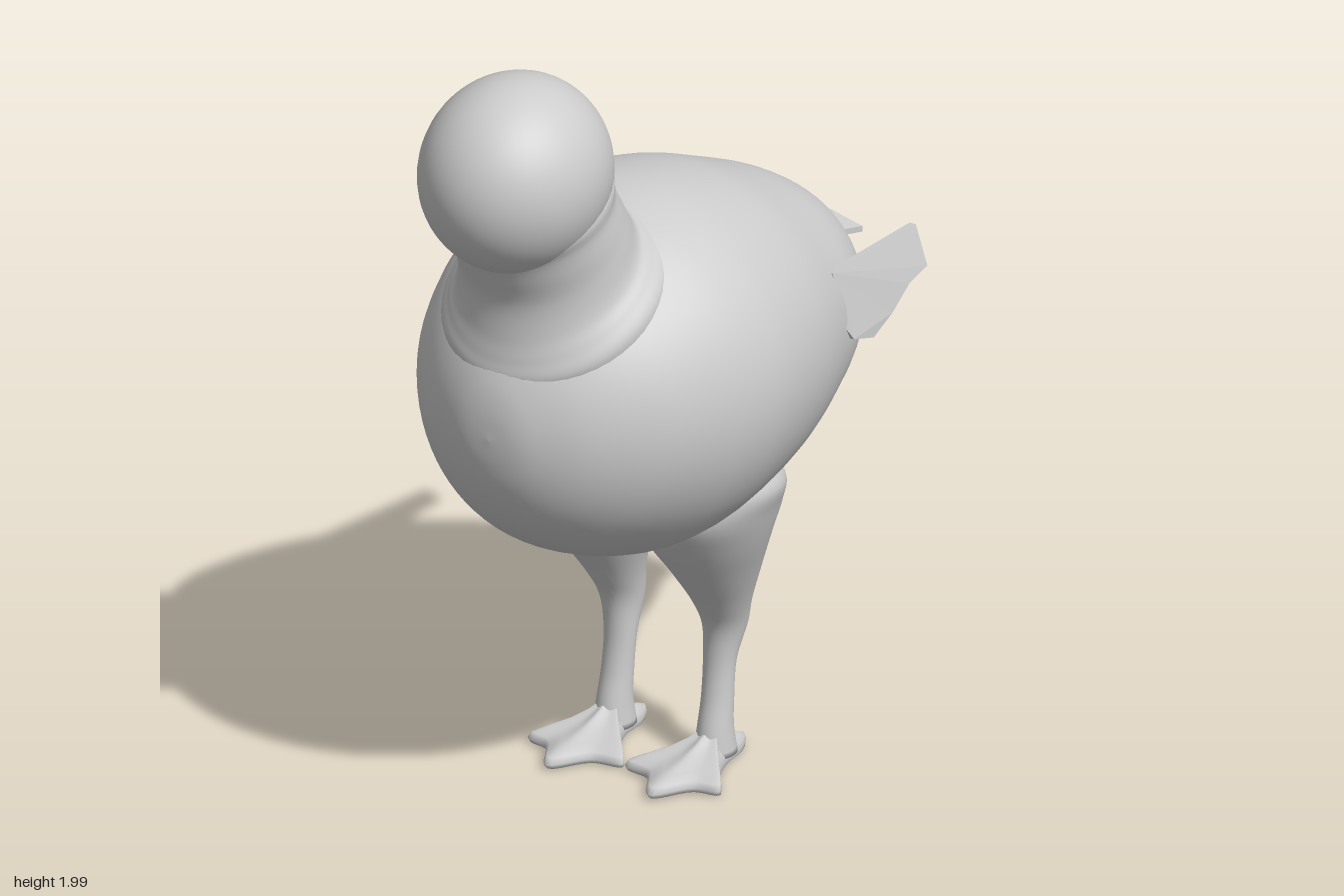
import * as THREE from 'three';

const grey = new THREE.MeshStandardMaterial({ color: 0xcccccc });
grey.name = 'plain grey';

function part(name, geometry) {
  const mesh = new THREE.Mesh(geometry, grey);
  mesh.name = name;
  return mesh;
}

// Skin a list of closed rings (arrays of Vector3) and cap both ends.
function skin(rings) {
  const n = rings[0].length, pos = [], idx = [];
  rings.forEach(r => r.forEach(p => pos.push(p.x, p.y, p.z)));
  for (let i = 0; i < rings.length - 1; i++) {
    for (let j = 0; j < n; j++) {
      const k = (j + 1) % n, a = i * n + j, b = i * n + k;
      idx.push(a, b, b + n, a, b + n, a + n);
    }
  }
  [0, rings.length - 1].forEach((r, end) => {
    const c = new THREE.Vector3();
    rings[r].forEach(p => c.addScaledVector(p, 1 / n));
    const ci = pos.length / 3;
    pos.push(c.x, c.y, c.z);
    for (let j = 0; j < n; j++) {
      const a = r * n + j, b = r * n + (j + 1) % n;
      if (end) idx.push(ci, a, b); else idx.push(ci, b, a);
    }
  });
  const g = new THREE.BufferGeometry();
  g.setAttribute('position', new THREE.Float32BufferAttribute(pos, 3));
  g.setIndex(idx);
  g.computeVertexNormals();
  return g;
}

// Elliptical loft. Each station: [y1, z1, y2, z2, half width, centre x].
function loft(stations, steps, sides) {
  const A = new THREE.CatmullRomCurve3(stations.map(s => new THREE.Vector3(s[5] || 0, s[0], s[1])));
  const B = new THREE.CatmullRomCurve3(stations.map(s => new THREE.Vector3(s[4], s[2], s[3])));
  const rings = [];
  for (let i = 0; i <= steps; i++) {
    const a = A.getPoint(i / steps), b = B.getPoint(i / steps), ring = [];
    for (let j = 0; j < sides; j++) {
      const t = j / sides * Math.PI * 2, s = (1 + Math.sin(t)) / 2;
      ring.push(new THREE.Vector3(a.x + Math.max(b.x, 0) * Math.cos(t),
        a.y + (b.y - a.y) * s, a.z + (b.z - a.z) * s));
    }
    rings.push(ring);
  }
  return skin(rings);
}

// Webbed foot: scalloped outline raised towards the ankle.
function footGeometry() {
  const outline = [[0.145, -0.26], [0.115, -0.21], [0.105, -0.12], [0.06, -0.03], [0.003, 0.04], [0.08, 0.06],
    [0.15, 0.15], [0.215, 0.06], [0.28, 0.04], [0.23, -0.03], [0.19, -0.12], [0.175, -0.21]];
  const curve = new THREE.CatmullRomCurve3(outline.map(p => new THREE.Vector3(p[0], 0, p[1])), true);
  const base = curve.getPoints(72).slice(0, -1);
  const layers = [[0.85, 0.006], [0.97, 0.01], [1, 0.022], [0.95, 0.036], [0.75, 0.046], [0.5, 0.058], [0.3, 0.075], [0.1, 0.1]];
  return skin(layers.map(([s, y]) => base.map(p =>
    new THREE.Vector3(0.147 + (p.x - 0.147) * s, y, -0.135 + (p.z + 0.135) * s))));
}

// Wing: thin plate leaning inwards at the top and narrowing to the rear.
function wingGeometry() {
  const shape = new THREE.Shape([[0.33, 1.27], [0.33, 1.14], [0.37, 1.09], [0.46, 1.06], [0.55, 1.09],
    [0.64, 1.13], [0.73, 1.14], [0.73, 1.24]].map(p => new THREE.Vector2(p[0], p[1])));
  const g = new THREE.ExtrudeGeometry(shape, { depth: 0.018, bevelEnabled: false });
  g.rotateY(Math.PI / 2);
  const p = g.attributes.position;
  for (let i = 0; i < p.count; i++) {
    const back = (-p.getZ(i) - 0.33) / 0.4;
    const drop = (1.27 - p.getY(i)) / 0.13;
    const lean = Math.min(drop, 1.2) * 0.032 + back * 0.012 * drop;
    p.setX(i, p.getX(i) + 0.335 - 0.045 * back + lean);
  }
  g.computeVertexNormals();
  return g;
}

// Tail: shallow folded plate that widens to the rear.
function tailGeometry() {
  const top = [[-0.15, 1.185], [-0.06, 1.205], [0.06, 1.205], [0.15, 1.185]];
  const under = top.map(([x, y]) => [x, y - 0.015]).reverse();
  const shape = new THREE.Shape([...top, ...under].map(p => new THREE.Vector2(p[0], p[1])));
  const g = new THREE.ExtrudeGeometry(shape, { depth: 0.2, bevelEnabled: false });
  g.translate(0, 0, -0.748);
  const p = g.attributes.position;
  for (let i = 0; i < p.count; i++) {
    const f = (p.getZ(i) + 0.748) / 0.2;
    p.setX(i, p.getX(i) * (1 - 0.5 * f));
    p.setY(i, p.getY(i) + 0.02 * f);
  }
  g.computeVertexNormals();
  return g;
}

export function createModel() {
  const model = new THREE.Group();
  model.name = 'bird';

  // Egg-shaped body: [z, bottom, top, half width]
  const body = [[-0.705, 1.13, 1.13, 0], [-0.697, 1.065, 1.195, 0.06], [-0.663, 0.975, 1.275, 0.157],
    [-0.6, 0.893, 1.335, 0.25], [-0.5, 0.81, 1.40, 0.325], [-0.36, 0.735, 1.465, 0.38],
    [-0.2, 0.685, 1.53, 0.433], [0, 0.648, 1.572, 0.468], [0.1, 0.64, 1.573, 0.465],
    [0.2, 0.65, 1.555, 0.445], [0.35, 0.705, 1.49, 0.385], [0.45, 0.765, 1.425, 0.315],
    [0.53, 0.845, 1.335, 0.23], [0.585, 0.945, 1.235, 0.13], [0.604, 1.02, 1.165, 0.07], [0.61, 1.09, 1.09, 0]];
  model.add(part('body', loft(body.map(([z, lo, hi, w]) => [lo, z, hi, z, w]), 75, 64)));

  // Neck, flared into the body and the head
  model.add(part('neck', loft([
    [1.16, 0.52, 1.44, 0.06, 0.27], [1.235, 0.575, 1.54, 0.09, 0.283], [1.285, 0.57, 1.562, 0.13, 0.255],
    [1.34, 0.562, 1.573, 0.155, 0.228], [1.43, 0.562, 1.63, 0.193, 0.215], [1.50, 0.588, 1.67, 0.218, 0.211],
    [1.55, 0.613, 1.71, 0.239, 0.208], [1.585, 0.645, 1.76, 0.242, 0.212], [1.65, 0.65, 1.80, 0.27, 0.19]], 48, 48)));

  // Head
  const head = new THREE.SphereGeometry(1, 48, 32);
  head.scale(0.228, 0.245, 0.255);
  head.translate(0, 1.755, 0.493);
  model.add(part('head', head));

  model.add(part('tail', tailGeometry()));

  // Leg stations from ankle to thigh: front edge, back edge, half width, centre x
  const leg = [[0.03, -0.075, 0.03, -0.195, 0.05, 0.147], [0.1, -0.088, 0.1, -0.182, 0.043, 0.147],
    [0.17, -0.105, 0.17, -0.185, 0.04, 0.146], [0.27, -0.118, 0.27, -0.195, 0.042, 0.145],
    [0.36, -0.112, 0.36, -0.228, 0.055, 0.15], [0.43, -0.075, 0.43, -0.225, 0.072, 0.155],
    [0.53, 0, 0.53, -0.233, 0.108, 0.16], [0.64, 0.08, 0.64, -0.242, 0.156, 0.16],
    [0.73, 0.12, 0.73, -0.25, 0.167, 0.182], [0.80, 0.085, 0.80, -0.22, 0.165, 0.205],
    [0.87, 0.02, 0.87, -0.15, 0.11, 0.22]];

  // Mirrored limbs
  [['left', 1], ['right', -1]].forEach(([side, s]) => {
    const limbs = new THREE.Group();
    limbs.name = side + 'Limbs';
    limbs.add(part(side + 'Leg', loft(leg, 50, 32)));
    limbs.add(part(side + 'Foot', footGeometry()));
    limbs.add(part(side + 'Wing', wingGeometry()));
    limbs.scale.x = s;
    model.add(limbs);
  });

  return model;
}
